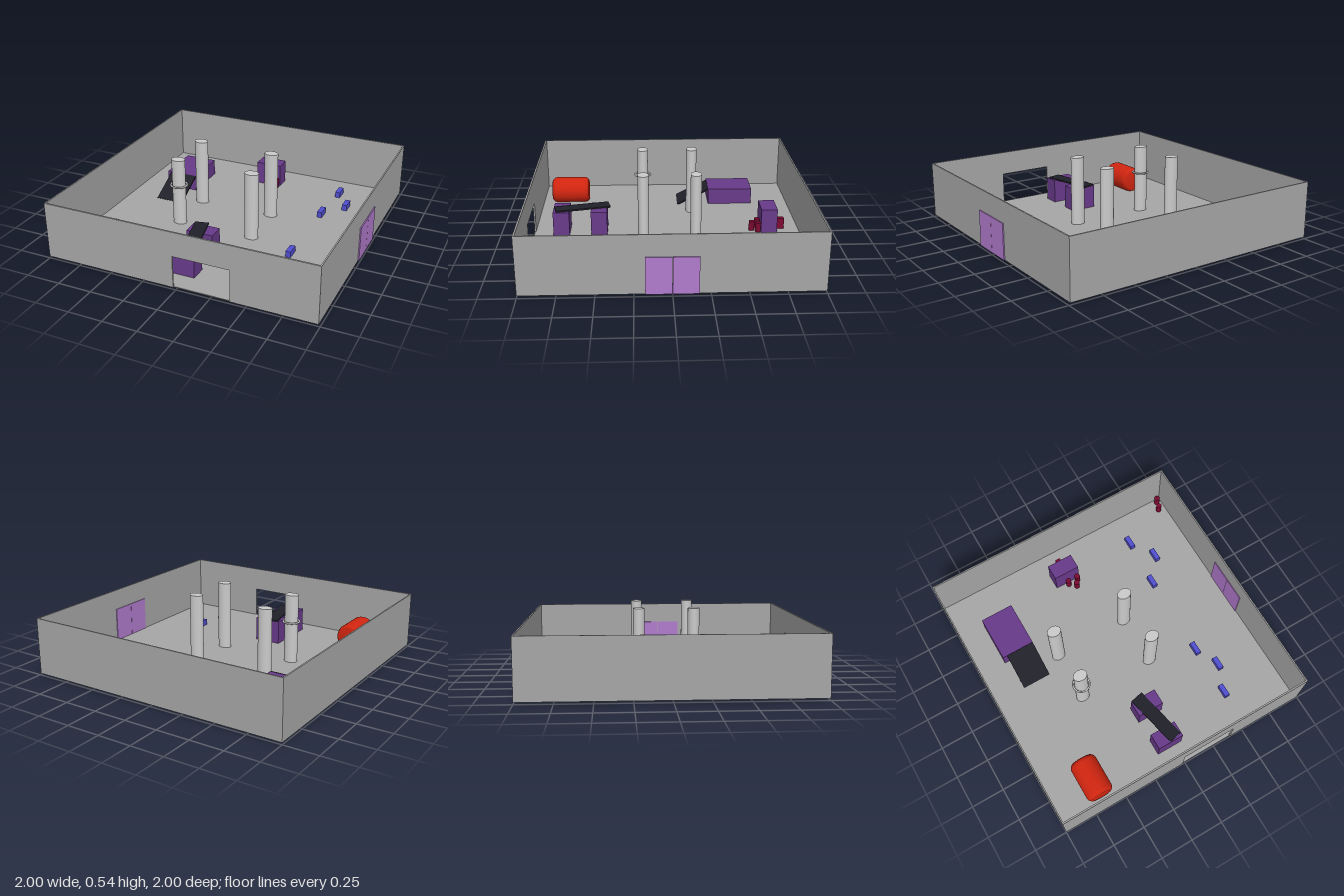
import * as THREE from 'three';

const mat = (name, color) => {
  const m = new THREE.MeshStandardMaterial({ color });
  m.name = name;
  return m;
};

export function createModel() {
  const model = new THREE.Group();
  model.name = 'room';
  const grey = mat('wall grey', 0xa6a6a6);
  const pale = mat('column grey', 0xcacaca);
  const purple = mat('purple', 0x683a8a);
  const lilac = mat('door lilac', 0xb07acb);
  const black = mat('black', 0x202029);
  const blue = mat('blue', 0x514fd0);
  const maroon = mat('maroon', 0x7c0a32);
  const red = mat('tank red', 0xd02510);

  const add = (name, geometry, material, x, y, z) => {
    const mesh = new THREE.Mesh(geometry, material);
    mesh.name = name;
    mesh.position.set(x, y, z);
    model.add(mesh);
    return mesh;
  };
  // Box given by its limits on each axis
  const box = (name, material, x0, x1, y0, y1, z0, z1) =>
    add(name, new THREE.BoxGeometry(x1 - x0, y1 - y0, z1 - z0), material,
      (x0 + x1) / 2, (y0 + y1) / 2, (z0 + z1) / 2);

  // Floor and plain walls
  box('floor', grey, -0.995, 0.985, 0.014, 0.02, -0.995, 0.995);
  box('backWall', grey, -1, 0.99, 0.014, 0.43, -1, -0.99);
  box('rightWall', grey, -1, -0.99, 0.014, 0.43, -0.99, 0.988);
  box('leftWall', grey, 0.98, 0.99, 0.014, 0.43, -0.99, 0.988);

  // Front wall with its doorway
  box('frontWallRight', grey, -1, -0.02, 0.014, 0.25, 0.988, 1);
  box('frontWallLeft', grey, 0.39, 0.99, 0.014, 0.25, 0.988, 1);
  box('frontLintel', grey, -1, 0.99, 0.25, 0.43, 0.988, 1);

  // Double door set into the left wall
  box('doorBack', lilac, 0.974, 0.998, 0.014, 0.275, -0.173, 0.001);
  box('doorFront', lilac, 0.974, 0.998, 0.014, 0.275, 0.003, 0.177);

  // Four slightly oval columns, one with a collar
  for (const [x, z] of [[-0.4, -0.2], [0.18, -0.2], [-0.4, 0.18], [0.185, 0.18]]) {
    add('column', new THREE.CylinderGeometry(0.052, 0.052, 0.523, 40), pale, x, 0.2735, z)
      .scale.z = 0.77;
  }
  const collar = add('columnCollar', new THREE.TorusGeometry(0.06, 0.007, 10, 40), pale, -0.4, 0.33, 0.18);
  collar.rotation.x = Math.PI / 2;

  // Purple crates and the plank lying across two of them
  for (const z of [-0.76, 0.51, 0.79]) {
    box('crate', purple, -0.14, 0.06, 0, 0.2, z - 0.06, z + 0.06);
  }
  const plank = box('plank', black, -0.09, 0.01, 0.198, 0.21, 0.43, 0.84);
  plank.rotation.y = 0.22;

  // Low platform with a sloping ramp down to the floor
  box('platform', purple, -0.788, -0.535, 0.016, 0.145, -0.7, -0.35);
  const rise = 0.125, run = 0.25;
  const ramp = add('ramp', new THREE.BoxGeometry(0.218, 0.012, Math.hypot(rise, run)), black,
    -0.645, 0.08, -0.225);
  ramp.rotation.x = Math.atan2(rise, run);

  // Lying tank with bevelled ends
  const profile = [[0, -0.148], [0.08, -0.148], [0.095, -0.134], [0.102, -0.115],
    [0.102, 0.115], [0.095, 0.134], [0.08, 0.148], [0, 0.148]]
    .map(([r, y]) => new THREE.Vector2(r, y));
  const tank = add('tank', new THREE.LatheGeometry(profile, 40), red, -0.658, 0.112, 0.768);
  tank.rotation.x = Math.PI / 2;

  // Small blue blocks
  for (const [x, z] of [[0.558, -0.745], [0.675, -0.55], [0.537, -0.362],
    [0.532, 0.29], [0.615, 0.48], [0.537, 0.687]]) {
    box('blueBlock', blue, x - 0.019, x + 0.019, 0.008, 0.065, z - 0.049, z + 0.049);
  }

  // Maroon canisters and the block behind the rear crate
  for (const [x, z] of [[-0.043, -0.68], [0.036, -0.68], [0.006, -0.635],
    [0.945, -0.962], [0.922, -0.895]]) {
    add('canister', new THREE.CylinderGeometry(0.021, 0.021, 0.08, 24), maroon, x, 0.052, z);
  }
  box('maroonBlock', maroon, -0.05, -0.01, 0.01, 0.1, -0.883, -0.82);

  return model;
}
